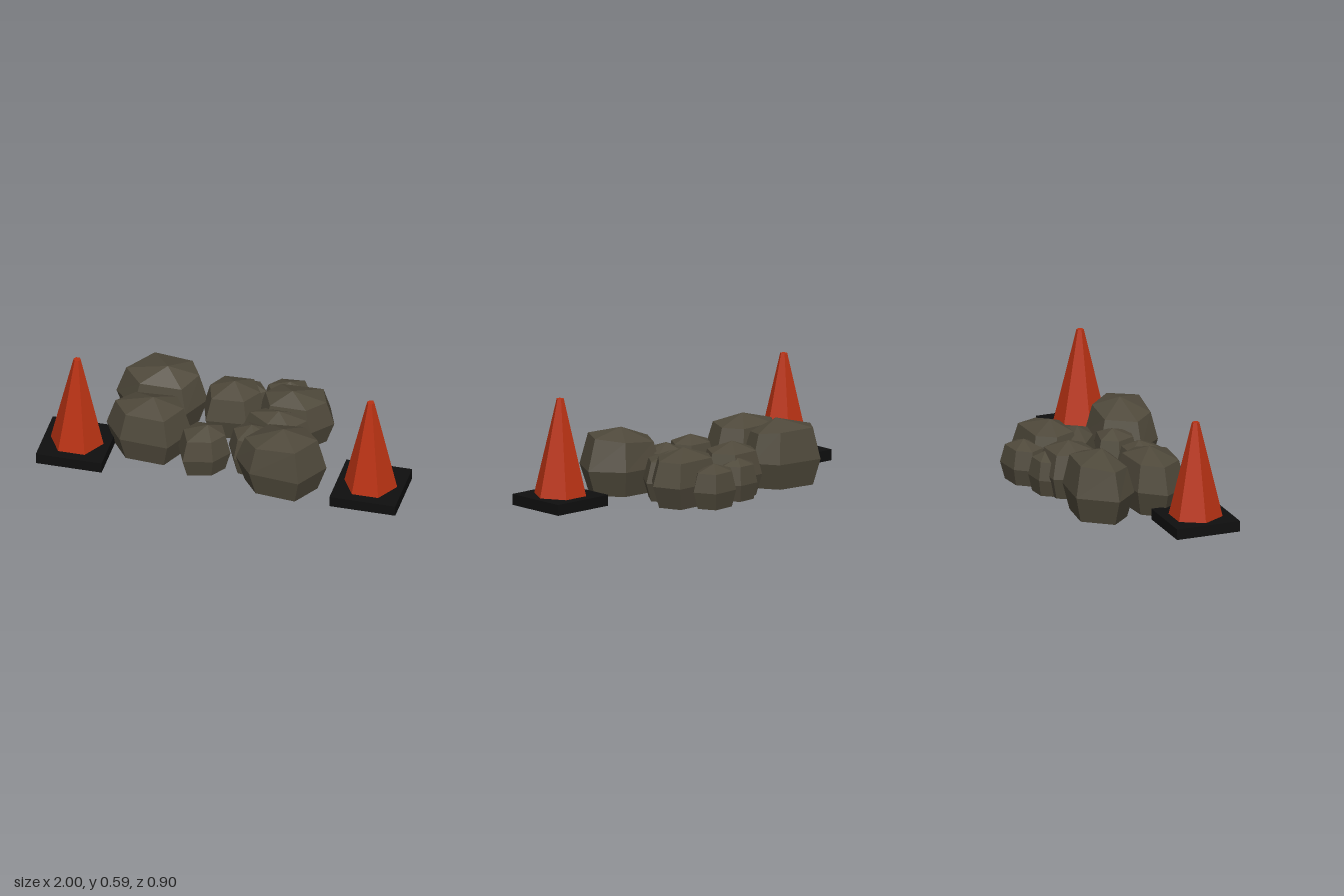
import * as THREE from 'three';

export function createModel() {
  const group = new THREE.Group();
  const mat = (name, color) => {
    const m = new THREE.MeshStandardMaterial({ color, flatShading: true });
    m.name = name;
    return m;
  };
  const stone = mat('stone', 0x4f493b);
  const orange = mat('coneOrange', 0xb93213);
  const black = mat('baseBlack', 0x0f0f0f);

  const add = (parent, name, geo, material, x, y, z) => {
    const mesh = new THREE.Mesh(geo, material);
    mesh.name = name;
    mesh.position.set(x, y, z);
    parent.add(mesh);
  };

  // Traffic cones: square base and six-sided tapered body
  for (const side of [-1, 1]) {
    const cone = new THREE.Group();
    cone.name = side > 0 ? 'leftCone' : 'rightCone';
    add(cone, 'coneBase', new THREE.BoxGeometry(0.366, 0.06, 0.366), black, 0, 0.03, 0);
    const body = new THREE.CylinderGeometry(0.02, 0.147, 0.53, 6).rotateY(Math.PI / 6 * 3);
    add(cone, 'coneBody', body, orange, 0, 0.325, 0);
    cone.position.set(side * 0.817, 0, 0.225);
    group.add(cone);
  }

  // Rock: six-sided outline (x, z pairs) lofted through three rings to a low peak.
  // tilt raises the shoulder ring towards +x and +z.
  function rock(name, h, peak, outline, tilt = [0, 0]) {
    const n = outline.length / 2;
    let cx = 0, cz = 0;
    for (let i = 0; i < n; i++) {
      cx += outline[2 * i] / n;
      cz += outline[2 * i + 1] / n;
    }
    const ring = (scale, y, t = [0, 0]) => Array.from({ length: n }, (_, i) => {
      const dx = (outline[2 * i] - cx) * scale, dz = (outline[2 * i + 1] - cz) * scale;
      return [cx + dx, y + dx * t[0] + dz * t[1], cz + dz];
    });
    const rings = [ring(0.8, 0), ring(1, h * 0.4), ring(0.8, h * 0.83, tilt)];
    const top = [peak[0], h, peak[1]], bottom = [cx, 0, cz];
    const pos = [];
    for (let i = 0; i < n; i++) {
      const j = (i + 1) % n;
      for (let k = 0; k < 2; k++) {
        const [a, b] = [rings[k], rings[k + 1]];
        pos.push(...a[j], ...a[i], ...b[i], ...a[j], ...b[i], ...b[j]);
      }
      pos.push(...rings[2][j], ...rings[2][i], ...top);
      pos.push(...rings[0][i], ...rings[0][j], ...bottom);
    }
    const geo = new THREE.BufferGeometry();
    geo.setAttribute('position', new THREE.Float32BufferAttribute(pos, 3));
    geo.computeVertexNormals();
    add(group, name, geo, stone, 0, 0, 0);
  }

  // Rubble pile
  rock('backRightBoulder', 0.36, [-0.41, -0.155],
    [-0.7, -0.17, -0.55, -0.36, -0.28, -0.33, -0.2, -0.2, -0.28, -0.03, -0.57, -0.03], [0, -0.12]);
  rock('frontRightBoulder', 0.34, [-0.42, 0.12],
    [-0.68, 0.12, -0.57, -0.01, -0.29, -0.03, -0.21, 0.1, -0.3, 0.29, -0.57, 0.27]);
  rock('frontMiddleRock', 0.26, [-0.1, 0.19],
    [-0.26, 0.2, -0.19, 0.09, -0.02, 0.09, 0.03, 0.2, -0.04, 0.31, -0.2, 0.345]);
  rock('frontLeftBoulder', 0.355, [0.34, 0.26],
    [0.08, 0.28, 0.2, 0.09, 0.45, 0.1, 0.58, 0.26, 0.47, 0.45, 0.19, 0.42], [0.1, 0.05]);
  rock('innerRock', 0.26, [0.13, 0.13],
    [0, 0.12, 0.07, 0.02, 0.25, 0.06, 0.28, 0.15, 0.2, 0.28, 0.06, 0.25]);
  rock('backMiddleRock', 0.295, [-0.05, -0.2],
    [-0.22, -0.2, -0.15, -0.33, 0.05, -0.34, 0.13, -0.2, 0.05, -0.06, -0.17, -0.04]);
  rock('backSmallRock', 0.23, [0.01, -0.31],
    [-0.12, -0.31, -0.07, -0.38, 0.06, -0.39, 0.13, -0.29, 0.06, -0.22, -0.06, -0.22]);
  rock('farBackRock', 0.235, [0.22, -0.35],
    [0.07, -0.35, 0.14, -0.44, 0.3, -0.455, 0.36, -0.34, 0.29, -0.26, 0.13, -0.25]);
  rock('backLeftRock', 0.305, [0.28, -0.17],
    [0.08, -0.2, 0.16, -0.32, 0.45, -0.33, 0.51, -0.18, 0.4, -0.05, 0.15, -0.05]);
  rock('leftLowRock', 0.26, [0.24, -0.03],
    [0.03, -0.05, 0.12, -0.12, 0.38, -0.12, 0.43, -0.04, 0.34, 0.085, 0.18, 0.06]);

  return group;
}
